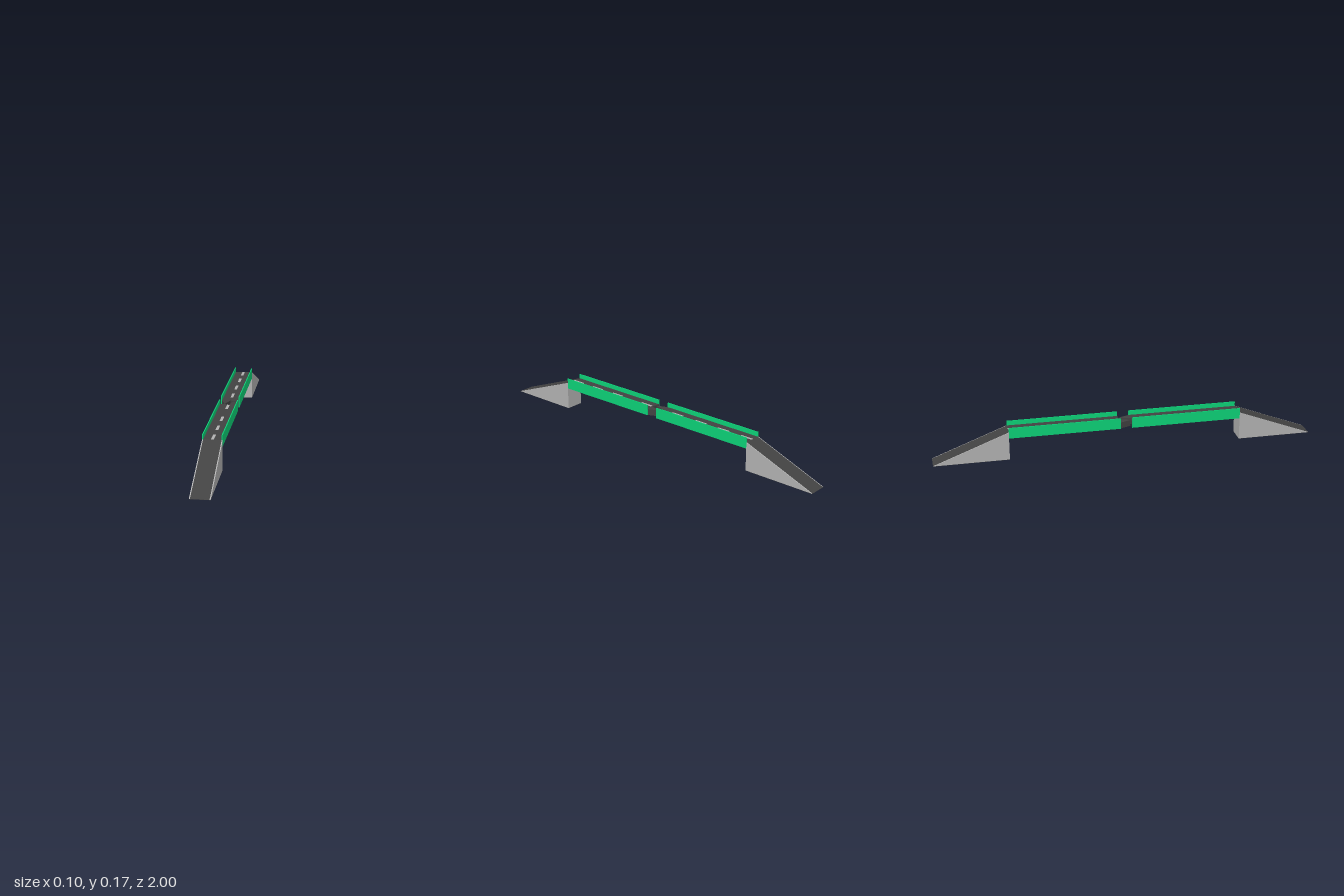
import * as THREE from 'three';

const mat = (color) => new THREE.MeshStandardMaterial({ color, flatShading: true });

export function createModel() {
  const asphalt = mat(0x424242), concrete = mat(0xb0b0b0), green = mat(0x0ccf76), paint = mat(0xb0b0b0);
  const W = 0.049, ROAD = 0.044, TOP = 0.151, LOW = 0.118, RAMP = 0.61, EDGE = 0.03;

  const add = (parent, name, geo, material) => {
    const m = new THREE.Mesh(geo, material);
    m.name = name;
    parent.add(m);
    return m;
  };
  const box = (x0, x1, y0, y1, z0, z1) => new THREE.BoxGeometry(x1 - x0, y1 - y0, z1 - z0)
    .translate((x0 + x1) / 2, (y0 + y1) / 2, (z0 + z1) / 2);
  const shape = (pts) => new THREE.Shape(pts.map(([a, b]) => new THREE.Vector2(a, b)));
  // side profile of (z, y) points, swept across the width
  const sweep = (pts, half) => new THREE.ExtrudeGeometry(shape(pts), { depth: half * 2, bevelEnabled: false })
    .translate(0, 0, -half).rotateY(-Math.PI / 2);
  // plan outline of (x, z) points, raised from y0 to y1
  const slab = (pts, y0, y1) => new THREE.ExtrudeGeometry(shape(pts.map(([x, z]) => [x, -z])),
    { depth: y1 - y0, bevelEnabled: false }).rotateX(-Math.PI / 2).translate(0, y0, 0);

  // One half of the broken bridge, reaching towards +z
  function bridgeHalf(name, dashes) {
    const half = new THREE.Group();
    half.name = name;

    // Ramp: concrete wedge, asphalt running surface and dark underside
    add(half, 'rampBody', sweep([[RAMP, 0.001], [0.998, 0.001], [RAMP, 0.15]], W), concrete);
    add(half, 'rampRoad', sweep([[RAMP, 0.149], [0.998, 0], [1, 0.001], [RAMP, TOP]], ROAD), asphalt);
    add(half, 'rampBase', box(-W, W, 0, 0.001, RAMP, 1), asphalt);

    // Deck with a jagged broken end
    add(half, 'deck', slab([[-ROAD, RAMP], [ROAD, RAMP], [ROAD, EDGE], [0.021, -0.028],
      [0.001, 0.038], [-0.012, 0.033], [-ROAD, EDGE]], LOW, TOP), asphalt);

    // Side barriers
    for (const s of [-1, 1]) {
      const x = s * (W + ROAD) / 2, t = (W - ROAD) / 2;
      add(half, 'barrier', box(x - t, x + t, LOW, 0.175, EDGE, RAMP), green);
    }

    // Painted centre line
    for (const z of dashes)
      add(half, 'laneDash', box(-0.007, 0.007, TOP - 0.001, TOP + 0.0006, z - 0.036, z + 0.036), paint);
    return half;
  }

  const model = new THREE.Group();
  model.name = 'brokenBridge';
  const back = bridgeHalf('backHalf', [0.574, 0.43, 0.286, 0.132]);
  back.rotation.y = Math.PI;
  model.add(bridgeHalf('frontHalf', [0.574, 0.43, 0.286, 0.078]), back);
  return model;
}
